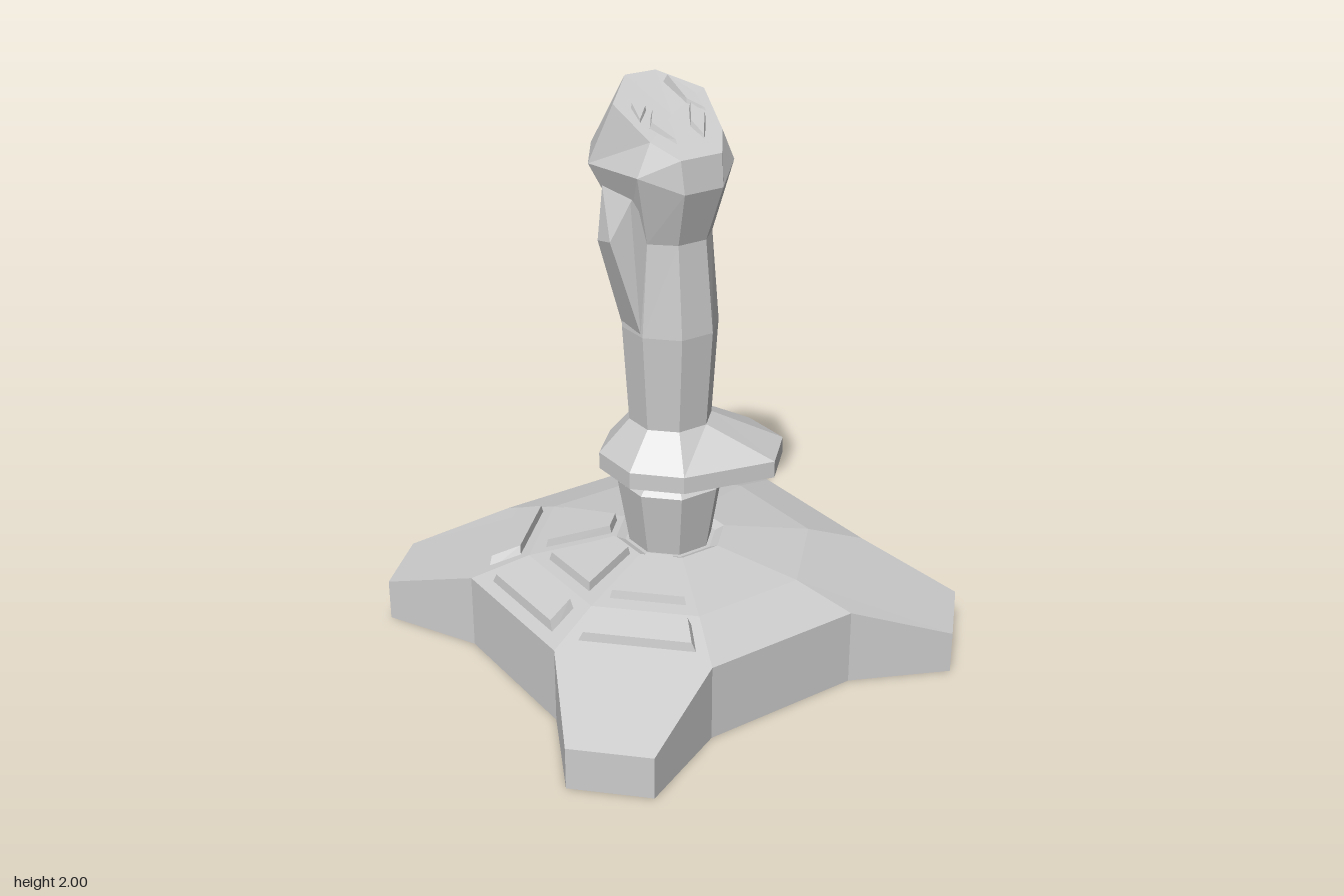
import * as THREE from 'three';
import { ConvexGeometry } from 'three/addons/geometries/ConvexGeometry.js';

const material = new THREE.MeshStandardMaterial({ color: 0xcccccc, flatShading: true });

function part(name, geometry) {
  const mesh = new THREE.Mesh(geometry, material);
  mesh.name = name;
  return mesh;
}

// Skins a stack of rings (lowest first) of [x, y, z] points and caps both ends.
function loft(rings) {
  const n = rings[0].length;
  let area = 0;
  rings[0].forEach((p, i) => {
    const q = rings[0][(i + 1) % n];
    area += p[2] * q[0] - p[0] * q[2];
  });
  if (area < 0) rings = rings.map((r) => [...r].reverse());
  const pos = [];
  const tri = (...corners) => corners.forEach((c) => pos.push(...c));
  const centre = (r) => [0, 1, 2].map((k) => r.reduce((s, p) => s + p[k], 0) / n);
  const bottom = rings[0], top = rings[rings.length - 1];
  const low = centre(bottom), high = centre(top);
  for (let i = 0; i < n; i++) {
    const j = (i + 1) % n;
    for (let k = 0; k + 1 < rings.length; k++) {
      const a = rings[k], b = rings[k + 1];
      tri(a[i], a[j], b[j]);
      tri(a[i], b[j], b[i]);
    }
    tri(low, bottom[j], bottom[i]);
    tri(high, top[i], top[j]);
  }
  const geometry = new THREE.BufferGeometry();
  geometry.setAttribute('position', new THREE.Float32BufferAttribute(pos, 3));
  geometry.computeVertexNormals();
  return geometry;
}

// Completes a half ring (front to back on the +x side) by mirroring it.
const mirrored = (half) => [...half, ...half.map(([x, y, z]) => [-x, y, z]).reverse()];

// Eight-sided ring: half width a, half depth b, half facet lengths c (front) and d (side).
const oct = (y, a, b = a, c = a * 0.42, d = a * 0.42) =>
  mirrored([[c, y, b], [a, y, d], [a, y, -d], [c, y, -b]]);

// Prism with an inset top, rising from an outline of [x, y, z] points.
function raised(outline, height, inset) {
  const cx = outline.reduce((s, p) => s + p[0], 0) / outline.length;
  const cz = outline.reduce((s, p) => s + p[2], 0) / outline.length;
  const top = outline.map(([x, y, z]) => {
    const f = 1 - inset;
    return [cx + (x - cx) * f, y + height, cz + (z - cz) * f];
  });
  return loft([outline.map(([x, y, z]) => [x, y - 0.02, z]), top]);
}

function createBase() {
  // Four-cornered foot outline; each corner has two notch and two tip points
  const foot = (tipY, notchY) => mirrored([
    [0.29, notchY, 0.655], [0.62, tipY, 0.81], [0.82, tipY, 0.61], [0.655, notchY, 0.28],
    [0.655, notchY, -0.28], [0.82, tipY, -0.61], [0.62, tipY, -0.81], [0.29, notchY, -0.655],
  ]);
  // Octagon with doubled points, so that it joins the foot outline
  const inner = (y, a, c) => mirrored([
    [c, y, a], [c, y, a], [a, y, c], [a, y, c],
    [a, y, -c], [a, y, -c], [c, y, -a], [c, y, -a],
  ]);
  return part('base', loft([
    foot(0, 0), foot(0.15, 0.27), inner(0.335, 0.463, 0.205),
    inner(0.38, 0.18, 0.075), inner(0.365, 0.15, 0.063),
  ]));
}

// Two rows of three keys fanned around the right side of the base
function createKeys() {
  const group = new THREE.Group();
  group.name = 'baseKeys';
  for (const turn of [-1, 0, 1]) {
    const key = (name, d0, y0, w0, d1, y1, w1, inset) => {
      const mesh = part(name, raised(
        [[-d0, y0, -w0], [-d0, y0, w0], [-d1, y1, w1], [-d1, y1, -w1]], 0.03, inset));
      mesh.rotation.y = (turn * Math.PI) / 4;
      group.add(mesh);
    };
    key('outerKey', 0.615, 0.288, 0.205, 0.505, 0.322, 0.17, 0.12);
    key('innerKey', 0.428, 0.341, 0.135, 0.2, 0.375, 0.05, 0.09);
  }
  return group;
}

function createStick() {
  const group = new THREE.Group();
  group.name = 'stick';

  group.add(part('stem', loft([
    oct(0.355, 0.135), oct(0.6, 0.173), oct(0.642, 0.13),
  ])));

  // Lopsided hand guard, wider to the front left
  const rim = [[0.225, 0.3], [0.365, 0.165], [0.365, -0.03], [0.225, -0.23],
    [-0.1, -0.23], [-0.23, -0.1], [-0.23, 0.09], [-0.1, 0.225]];
  const guard = (y) => rim.map(([x, z]) => [x, y, z]);
  group.add(part('handGuard', loft([
    oct(0.637, 0.13), guard(0.655), guard(0.715), oct(0.837, 0.133),
  ])));

  // Grip swelling into a head with a forward-sloping top
  group.add(part('gripAndHead', loft([
    oct(0.83, 0.133), oct(1.18, 0.155, 0.157, 0.062, 0.062),
    oct(1.5, 0.13, 0.125, 0.055, 0.055),
    mirrored([[0.075, 1.69, 0.188], [0.19, 1.74, 0.09], [0.228, 1.74, -0.14], [0.09, 1.74, -0.34]]),
    mirrored([[0.08, 1.8, 0.173], [0.14, 1.85, 0.09], [0.178, 1.945, -0.065], [0.06, 2, -0.173]]),
  ])));

  // Trigger under the back of the head
  const trigger = [];
  for (const x of [-0.085, 0.085]) {
    for (const [y, z] of [[1.74, -0.08], [1.74, -0.3], [1.43, -0.235], [1.37, -0.135], [1.4, -0.08]]) {
      trigger.push(new THREE.Vector3(x, y, z));
    }
  }
  group.add(part('trigger', new ConvexGeometry(trigger)));

  // Thumb rest bulging from the right side of the grip
  const rest = [[-0.155, 1.19, 0.05], [-0.15, 1.19, -0.07], [-0.07, 1.22, -0.15], [-0.07, 1.37, -0.145],
    [-0.25, 1.52, 0.02], [-0.24, 1.5, -0.07], [-0.19, 1.65, 0.05], [-0.2, 1.67, -0.1],
    [-0.05, 1.5, 0.06], [-0.05, 1.65, -0.1]];
  group.add(part('thumbRest', new ConvexGeometry(rest.map((p) => new THREE.Vector3(...p)))));

  // Mirrored pairs of buttons on the sloping top
  const buttons = {
    upperButton: [[0.05, -0.13], [0.075, -0.02], [0.135, 0.03], [0.13, -0.04]],
    lowerButton: [[0.115, 0.04], [0.075, -0.01], [0.03, 0.06], [0.05, 0.125]],
  };
  for (const side of [-1, 1]) {
    for (const [name, outline] of Object.entries(buttons)) {
      group.add(part(name, raised(
        outline.map(([x, z]) => [side * x, 1.9 - 0.575 * z, z]), 0.022, 0.25)));
    }
  }
  return group;
}

export function createModel() {
  const model = new THREE.Group();
  model.name = 'joystick';
  model.add(createBase(), createKeys(), createStick());
  return model;
}
